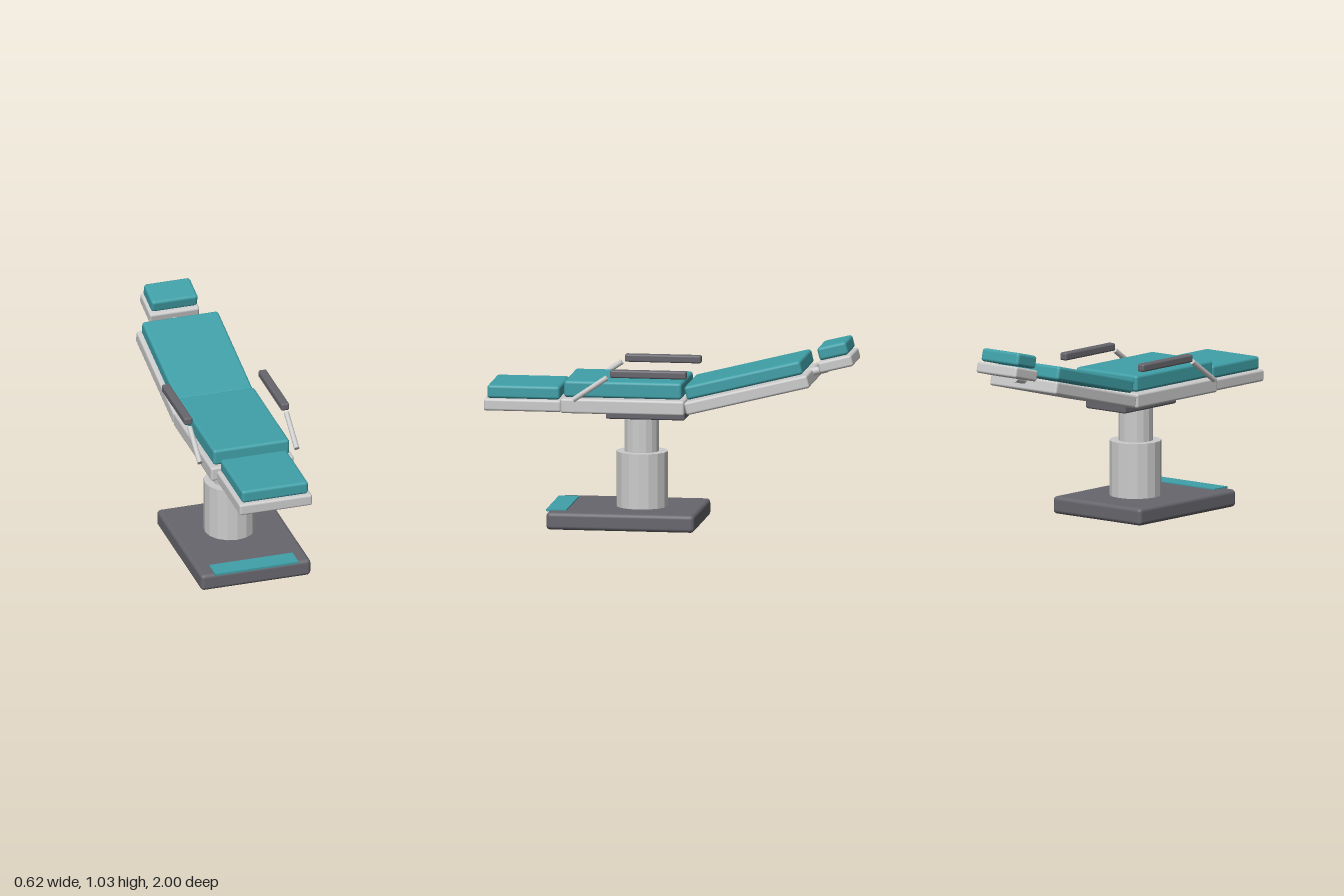
import * as THREE from 'three';
import { RoundedBoxGeometry } from 'three/addons/geometries/RoundedBoxGeometry.js';

const grey = new THREE.MeshStandardMaterial({ color: 0xcccccc });
const steel = new THREE.MeshStandardMaterial({ color: 0xcccccc, flatShading: true });
const dark = new THREE.MeshStandardMaterial({ color: 0x66666d });
const teal = new THREE.MeshStandardMaterial({ color: 0x40a0a8 });
const TILT = THREE.MathUtils.degToRad(14);

export function createModel() {
  const model = new THREE.Group();
  model.name = 'recliningChair';

  const add = (name, geometry, material, x, y, z, tilt = 0) => {
    const mesh = new THREE.Mesh(geometry, material);
    mesh.name = name;
    mesh.position.set(x, y, z);
    mesh.rotation.x = tilt;
    model.add(mesh);
    return mesh;
  };
  const pad = (name, material, [w, h, d], [x, y, z], radius = 0.013, tilt = 0) =>
    add(name, new RoundedBoxGeometry(w, h, d, 3, radius), material, x, y, z, tilt);

  // Round bar between two points
  const rod = (name, a, b, radius) => {
    const from = new THREE.Vector3(...a), to = new THREE.Vector3(...b);
    const dir = to.clone().sub(from);
    const mid = from.clone().add(to).multiplyScalar(0.5);
    const mesh = add(name, new THREE.CylinderGeometry(radius, radius, dir.length(), 12), grey, mid.x, mid.y, mid.z);
    mesh.quaternion.setFromUnitVectors(new THREE.Vector3(0, 1, 0), dir.normalize());
  };

  // Base, pedal and telescopic column
  pad('base', dark, [0.62, 0.095, 0.805], [0, 0.0475, 0.2425], 0.022);
  add('footPedal', new THREE.BoxGeometry(0.47, 0.011, 0.11), teal, 0, 0.0955, 0.6);
  add('lowerColumn', new THREE.CylinderGeometry(0.14, 0.14, 0.305, 16), steel, 0, 0.2425, 0.167);
  add('upperColumn', new THREE.CylinderGeometry(0.094, 0.094, 0.2, 16), steel, 0, 0.49, 0.17);
  pad('mountPlate', dark, [0.28, 0.05, 0.43], [0, 0.61, 0.13], 0.01);

  // Seat and leg rest
  pad('seatFrame', grey, [0.468, 0.08, 0.672], [0, 0.665, 0.242]);
  pad('seatCushion', teal, [0.43, 0.09, 0.64], [0, 0.755, 0.242], 0.016);
  pad('legFrame', grey, [0.41, 0.065, 0.42], [0, 0.6575, 0.79]);
  pad('legCushion', teal, [0.374, 0.072, 0.395], [0, 0.726, 0.787], 0.016);

  // Inclined backrest
  pad('backFrame', grey, [0.468, 0.07, 0.69], [0, 0.746, -0.434], 0.013, TILT);
  pad('backCushion', teal, [0.43, 0.075, 0.65], [0, 0.8235, -0.4135], 0.016, TILT);

  // Headrest on its neck bar
  rod('neckBar', [0, 0.837, -0.72], [0, 0.867, -0.839], 0.022);
  pad('headFrame', grey, [0.28, 0.061, 0.189], [0, 0.912, -0.903], 0.013, TILT);
  pad('headCushion', teal, [0.26, 0.071, 0.162], [0, 0.981, -0.887], 0.016, TILT);

  // Armrests on slanted rods, one per side
  for (const [side, label] of [[1, 'left'], [-1, 'right']]) {
    const x = side * 0.273;
    pad(label + 'Armrest', dark, [0.046, 0.042, 0.415], [x, 0.855, 0.0925], 0.01);
    rod(label + 'ArmRod', [x, 0.707, 0.502], [x, 0.832, 0.318], 0.0145);
  }

  return model;
}
